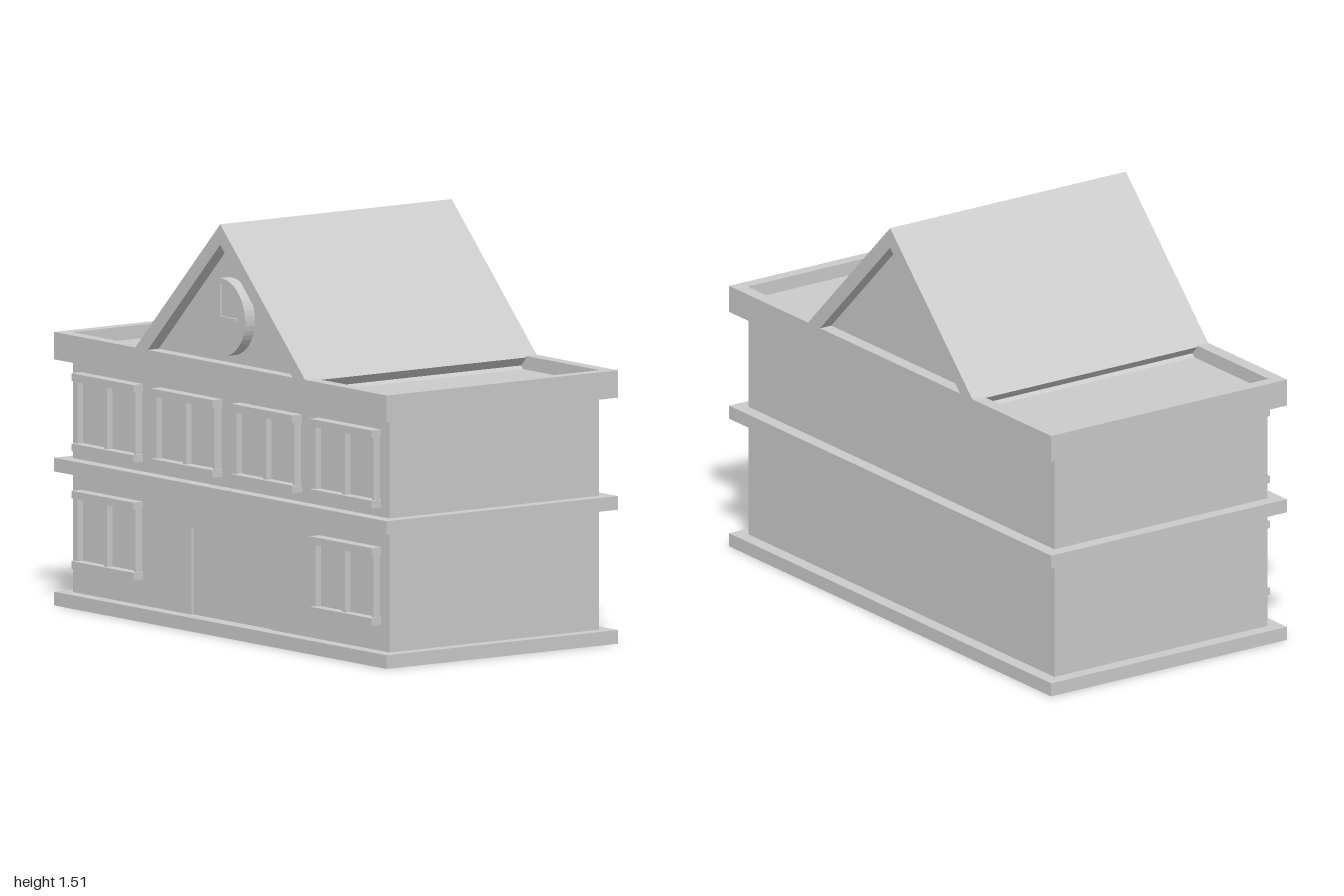
import * as THREE from 'three';

const material = new THREE.MeshStandardMaterial({ color: 0xcccccc, flatShading: true });

function add(parent, name, geometry) {
  const mesh = new THREE.Mesh(geometry, material);
  mesh.name = name;
  parent.add(mesh);
  return mesh;
}

// Box given by its lower and upper limits on each axis
function box(parent, name, [x0, x1], [y0, y1], [z0, z1]) {
  const mesh = add(parent, name, new THREE.BoxGeometry(x1 - x0, y1 - y0, z1 - z0));
  mesh.position.set((x0 + x1) / 2, (y0 + y1) / 2, (z0 + z1) / 2);
  return mesh;
}

const outline = (points) => new THREE.Shape(points.map(([x, y]) => new THREE.Vector2(x, y)));

// Outline in the xy plane, extruded from z0 to z1
function prism(parent, name, points, z0, z1) {
  const geometry = new THREE.ExtrudeGeometry(outline(points), { depth: z1 - z0, bevelEnabled: false });
  return add(parent, name, geometry.translate(0, 0, z0));
}

// Window centred on x with its sill's underside at y
function addWindow(parent, x, y) {
  const win = new THREE.Group();
  win.name = 'window';
  win.position.set(x, y, 0);
  box(win, 'glass', [-0.18, 0.18], [0.02, 0.265], [0.47, 0.48]);
  for (const s of [-1, 1]) {
    box(win, 'jamb', [s * 0.175 - 0.005, s * 0.175 + 0.005], [0.02, 0.265], [0.47, 0.505]);
  }
  box(win, 'mullion', [-0.009, 0.009], [0.02, 0.265], [0.47, 0.505]);
  box(win, 'sill', [-0.186, 0.186], [0, 0.028], [0.47, 0.52]);
  box(win, 'lintel', [-0.186, 0.186], [0.257, 0.285], [0.47, 0.52]);
  parent.add(win);
}

export function createModel() {
  const building = new THREE.Group();
  building.name = 'building';

  // Walls, with a shallow doorway cut into the front skin
  box(building, 'walls', [-0.95, 0.95], [0.04, 0.92], [-0.475, 0.464]);
  prism(building, 'frontWall', [
    [-0.95, 0.04], [-0.24, 0.04], [-0.24, 0.37], [0.24, 0.37],
    [0.24, 0.04], [0.95, 0.04], [0.95, 0.92], [-0.95, 0.92],
  ], 0.464, 0.475);

  // Plinth and floor band
  box(building, 'plinth', [-1, 1], [0, 0.05], [-0.525, 0.525]);
  box(building, 'floorBand', [-1, 1], [0.49, 0.54], [-0.525, 0.525]);

  // Parapet ring around a sunken flat roof
  const rect = (x, z) => [[-x, -z], [x, -z], [x, z], [-x, z]];
  const ring = outline(rect(1, 0.525));
  ring.holes.push(outline(rect(0.955, 0.475)));
  const parapet = add(building, 'parapet', new THREE.ExtrudeGeometry(ring, { depth: 0.1, bevelEnabled: false }));
  parapet.rotation.x = -Math.PI / 2;
  parapet.position.y = 0.9;
  box(building, 'flatRoof', [-0.96, 0.96], [0.9, 0.95], [-0.48, 0.48]);

  // Gable roof with a recessed infill at both ends
  prism(building, 'gableRoof', [
    [0.515, 0.995], [0, 1.51], [-0.515, 0.995],
    [-0.478, 0.957], [0, 1.435], [0.478, 0.957],
  ], -0.525, 0.525);
  prism(building, 'gableWall', [[-0.5, 0.945], [0.5, 0.945], [0, 1.445]], -0.475, 0.475);

  // Clock
  const clock = new THREE.Group();
  clock.name = 'clock';
  clock.position.y = 1.17;
  const dial = new THREE.CylinderGeometry(0.142, 0.142, 0.06, 48).toNonIndexed();
  const face = add(clock, 'clockFace', dial);
  face.rotation.x = Math.PI / 2;
  face.position.z = 0.49;
  box(clock, 'minuteHand', [-0.005, 0.005], [-0.005, 0.12], [0.515, 0.53]);
  box(clock, 'hourHand', [-0.005, 0.098], [-0.005, 0.005], [0.515, 0.53]);
  building.add(clock);

  // Windows: four upstairs, two beside the door
  for (const s of [-1, 1]) {
    addWindow(building, s * 0.24, 0.575);
    addWindow(building, s * 0.715, 0.575);
    addWindow(building, s * 0.715, 0.145);
  }
  return building;
}
